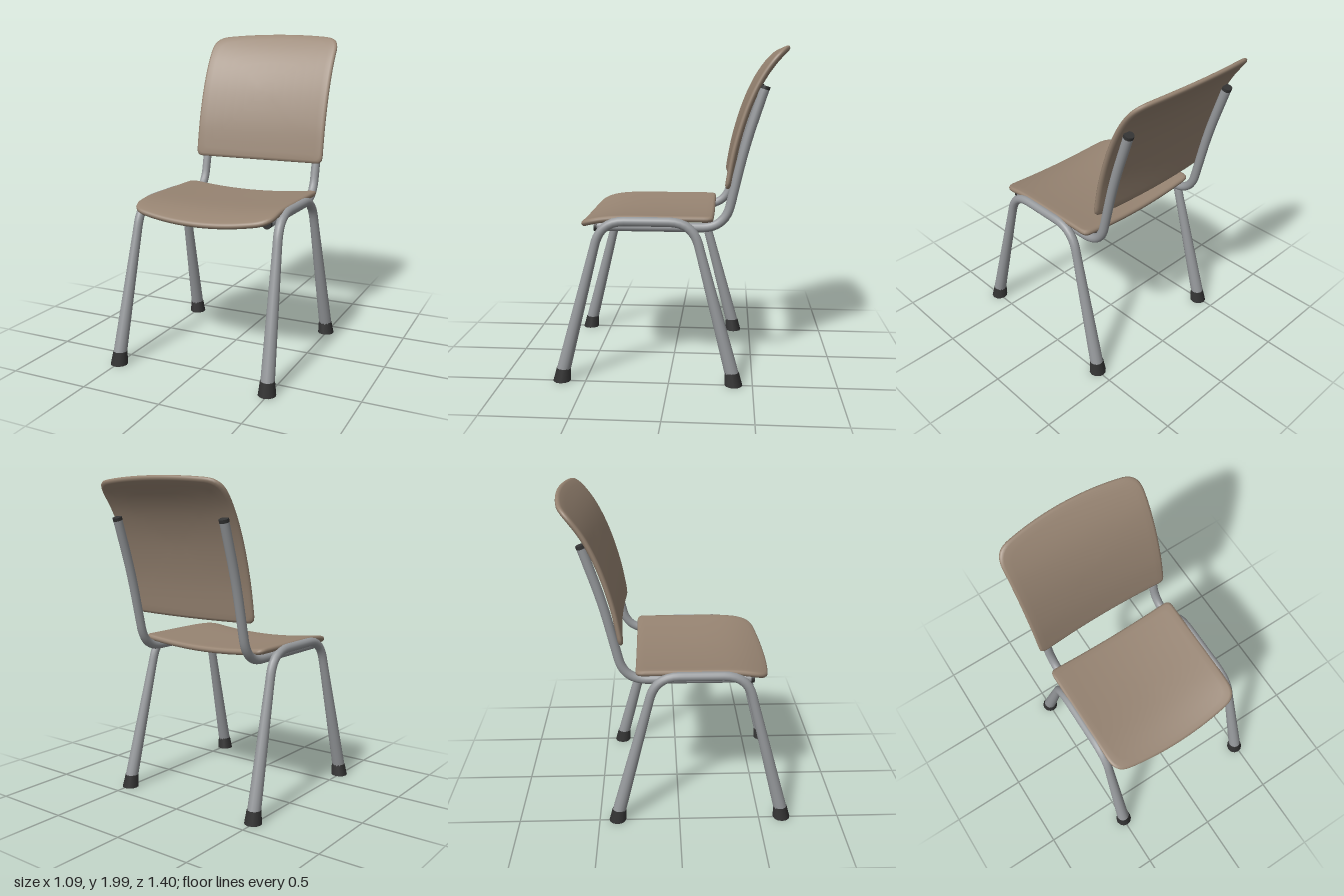
import * as THREE from 'three';
import { mergeVertices } from 'three/addons/utils/BufferGeometryUtils.js';

const mat = (name, color) => {
  const m = new THREE.MeshStandardMaterial({ color });
  m.name = name;
  return m;
};

// Path through the points with every inner corner rounded off
function roundedPath(points, cut) {
  const path = new THREE.CurvePath();
  let from = points[0];
  for (let i = 1; i < points.length - 1; i++) {
    const p = points[i];
    const a = p.clone().add(points[i - 1].clone().sub(p).setLength(cut));
    const b = p.clone().add(points[i + 1].clone().sub(p).setLength(cut));
    path.add(new THREE.LineCurve3(from, a));
    path.add(new THREE.QuadraticBezierCurve3(a, p, b));
    from = b;
  }
  path.add(new THREE.LineCurve3(from, points[points.length - 1]));
  return path;
}

// Tube whose radius depends on the height of its centre line
function taperedTube(path, segments, sides, radiusAt) {
  const geo = new THREE.TubeGeometry(path, segments, 1, sides);
  const pos = geo.attributes.position;
  const v = new THREE.Vector3();
  for (let i = 0; i <= segments; i++) {
    const c = path.getPointAt(i / segments);
    for (let j = 0; j <= sides; j++) {
      const k = i * (sides + 1) + j;
      v.fromBufferAttribute(pos, k).sub(c).multiplyScalar(radiusAt(c.y)).add(c);
      pos.setXYZ(k, v.x, v.y, v.z);
    }
  }
  geo.computeVertexNormals();
  // TubeGeometry has a seam: weld it for smooth shading
  geo.deleteAttribute('uv');
  geo.deleteAttribute('normal');
  const welded = mergeVertices(geo, 1e-5);
  welded.computeVertexNormals();
  return welded;
}

// Bent plywood panel: rounded outline laid along a (z, y) profile, dished across x.
// The profile runs from the square end to the bowed end; face is the side it faces.
function panel(profile, face, sag, thick) {
  const curve = new THREE.SplineCurve(profile.map(([z, y]) => new THREE.Vector2(z, y)));
  const L = curve.getLength(), w = 0.457, c = 0.04;
  const shape = new THREE.Shape();
  shape.moveTo(0, 0);
  shape.lineTo(w - c, 0);
  shape.quadraticCurveTo(w, 0, w, c);
  shape.lineTo(w, L - 0.17);
  shape.bezierCurveTo(w, L - 0.08, w - 0.03, L - 0.05, 0.37, L - 0.035);
  shape.quadraticCurveTo(0.2, L, 0, L);
  shape.quadraticCurveTo(-0.2, L, -0.37, L - 0.035);
  shape.bezierCurveTo(-w + 0.03, L - 0.05, -w, L - 0.08, -w, L - 0.17);
  shape.lineTo(-w, c);
  shape.quadraticCurveTo(-w, 0, -w + c, 0);
  shape.lineTo(0, 0);
  const n = 160;
  const outline = shape.getSpacedPoints(n).slice(0, n);

  // Rings from the middle of the face, round the edge, to the middle of the back
  const flat = [0, 0.15, 0.3, 0.45, 0.6, 0.75, 0.88, 0.96];
  const rings = [
    ...flat.map((s) => [s, 0]),
    [0.988, 0.12], [1, 0.38], [1, 0.62], [0.988, 0.88],
    ...flat.slice().reverse().map((s) => [s, 1]),
  ];
  const verts = [], index = [];
  rings.forEach(([s, depth], r) => {
    outline.forEach((o, i) => {
      const x = o.x * s;
      const t = THREE.MathUtils.clamp((L / 2 + (o.y - L / 2) * s) / L, 0, 1);
      const p = curve.getPointAt(t), d = curve.getTangentAt(t);
      const h = -thick * depth - sag * (1 - (x / w) ** 2);
      verts.push(x, p.y + face * d.x * h, p.x - face * d.y * h);
      if (r === 0) return;
      const j = (i + 1) % n;
      const a = (r - 1) * n + i, b = (r - 1) * n + j, e = r * n + i, f = r * n + j;
      if (face < 0) index.push(a, e, f, a, f, b);
      else index.push(a, f, e, a, b, f);
    });
  });
  const geo = new THREE.BufferGeometry();
  geo.setAttribute('position', new THREE.Float32BufferAttribute(verts, 3));
  geo.setIndex(index);
  const welded = mergeVertices(geo, 1e-5);
  welded.computeVertexNormals();
  return welded;
}

export function createModel() {
  const group = new THREE.Group();
  const wood = mat('brown panel', 0x978472);
  const steel = mat('grey steel', 0x96999c);
  const rubber = mat('black rubber', 0x343434);
  const add = (name, geo, material) => {
    const mesh = new THREE.Mesh(geo, material);
    mesh.name = name;
    group.add(mesh);
    return mesh;
  };
  const V = (x, y, z) => new THREE.Vector3(x, y, z);

  // Seat with a front edge that curves down
  add('seat', panel(
    [[-0.258, 1.01], [0, 1.01], [0.25, 1.01], [0.38, 1.003], [0.48, 0.985], [0.573, 0.955]],
    1, 0.033, 0.037), wood);

  // Backrest curling backwards at the top
  add('backrest', panel(
    [[-0.318, 1.17], [-0.36, 1.4], [-0.425, 1.62], [-0.5, 1.79], [-0.58, 1.91], [-0.672, 2.01]],
    -1, 0.02, 0.032), wood);

  for (const side of [1, -1]) {
    const label = side > 0 ? 'left' : 'right';

    // Arched tube forming a front and a back leg, wider towards the floor
    const legs = roundedPath([
      V(side * 0.493, 0.05, 0.638), V(side * 0.459, 0.975, 0.4),
      V(side * 0.459, 0.975, -0.14), V(side * 0.493, 0.05, -0.382),
    ], 0.14);
    const legRadius = (y) => 0.028 + 0.013 * THREE.MathUtils.clamp((0.8 - y) / 0.7, 0, 1);
    add(label + 'Legs', taperedTube(legs, 72, 14, legRadius), steel);

    // Rubber feet, slanted to follow the legs
    for (const [name, z, lean] of [['Front', 0.644, -0.012], ['Back', -0.388, 0.012]]) {
      const foot = new THREE.CylinderGeometry(0.043, 0.053, 0.08, 12);
      const pos = foot.attributes.position;
      for (let i = 0; i < pos.count; i++) {
        if (pos.getY(i) > 0) {
          pos.setZ(i, pos.getZ(i) + lean);
          pos.setX(i, pos.getX(i) - side * 0.003);
        }
      }
      add(label + name + 'Foot', foot, rubber).position.set(side * 0.494, 0.04, z);
    }

    // Tube under the seat that bends up behind the backrest
    const support = roundedPath([
      V(side * 0.4, 0.933, 0.43), V(side * 0.4, 0.933, -0.325),
      V(side * 0.4, 1.42, -0.437), V(side * 0.4, 1.74, -0.541),
    ], 0.14);
    add(label + 'BackSupport', taperedTube(support, 64, 14, () => 0.028), steel);

    // Dark plugs closing both tube ends
    for (const [name, t, out] of [['Lower', 0, -1], ['Upper', 1, 1]]) {
      const plug = add(label + name + 'Plug', new THREE.CylinderGeometry(0.029, 0.029, 0.02, 14), rubber);
      const dir = support.getTangentAt(t).multiplyScalar(out);
      plug.quaternion.setFromUnitVectors(V(0, 1, 0), dir);
      plug.position.copy(support.getPointAt(t)).addScaledVector(dir, 0.008);
    }
  }
  return group;
}
